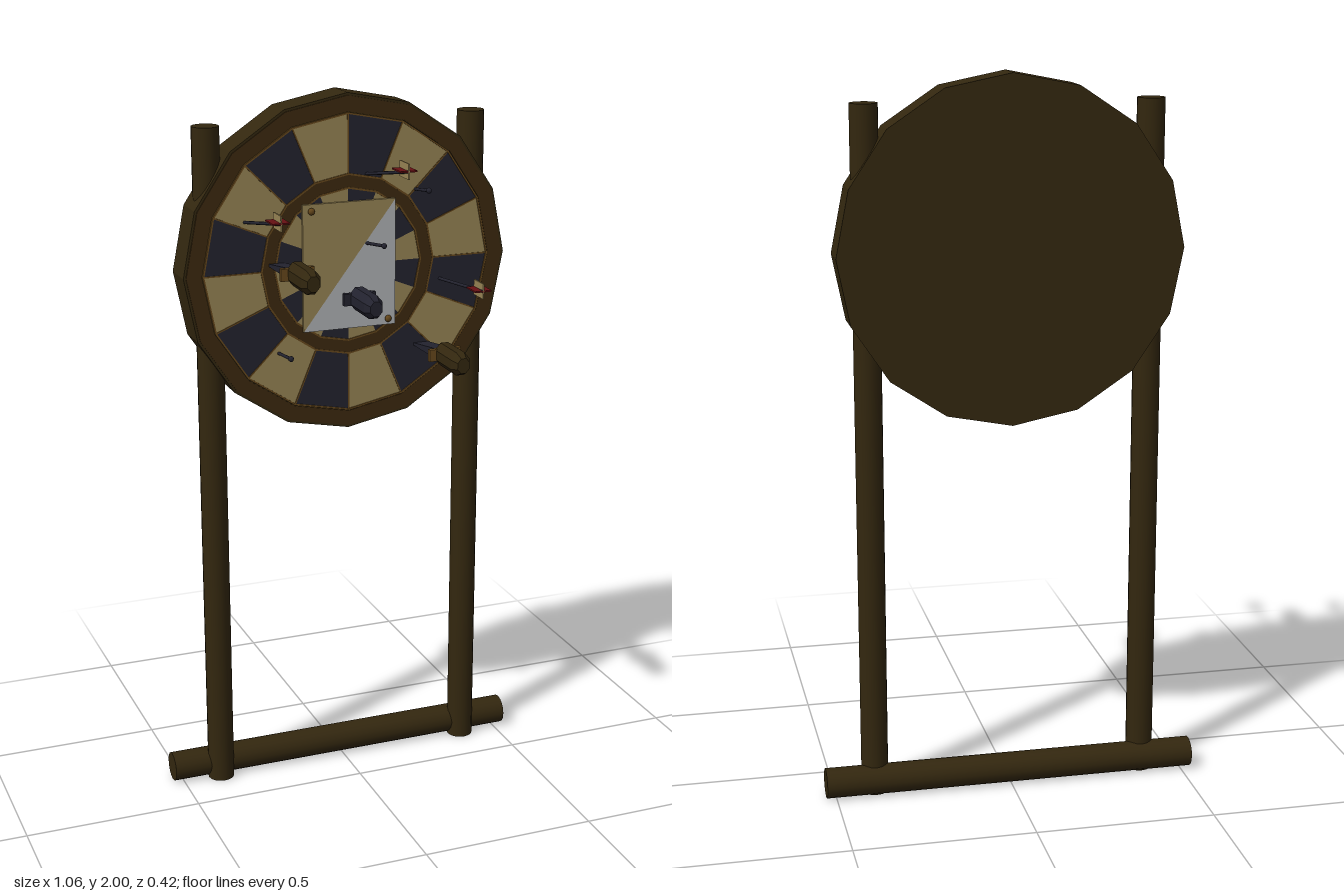
import * as THREE from 'three';

const mat = (name, color) => {
  const m = new THREE.MeshStandardMaterial({ color });
  m.name = name;
  return m;
};

export function createModel() {
  const root = new THREE.Group();
  const wood = mat('dark wood', 0x33270f);
  const ringWood = mat('ring wood', 0x3c290f);
  const tan = mat('tan', 0x978454);
  const navy = mat('navy', 0x23232f);
  const paper = mat('pale paper', 0xb0b2b5);
  const red = mat('red', 0x661013);
  const brass = mat('brass', 0x66481c);

  const add = (parent, name, geo, material, x = 0, y = 0, z = 0) => {
    const mesh = new THREE.Mesh(geo, material);
    mesh.name = name;
    mesh.position.set(x, y, z);
    parent.add(mesh);
    return mesh;
  };
  const flat = (geo) => {
    const g = geo.index ? geo.toNonIndexed() : geo;
    g.computeVertexNormals();
    return g;
  };
  const plate = (points, depth) => new THREE.ExtrudeGeometry(
    new THREE.Shape(points.map(([x, y]) => new THREE.Vector2(x, y))),
    { depth, bevelEnabled: false });
  const group = (name, x, y, z) => {
    const g = new THREE.Group();
    g.name = name;
    g.position.set(x, y, z);
    root.add(g);
    return g;
  };

  // Frame: two round posts and a ground beam behind them
  for (const s of [-1, 1]) {
    add(root, s > 0 ? 'leftPost' : 'rightPost',
      new THREE.CylinderGeometry(0.038, 0.038, 1.925, 16), wood, s * 0.386, 0.9625, -0.143);
  }
  add(root, 'groundBeam', new THREE.CylinderGeometry(0.042, 0.042, 1.056, 16).rotateZ(Math.PI / 2),
    wood, 0, 0.043, -0.167);

  // Sixteen-sided board
  const N = 16, step = Math.PI * 2 / N;
  const board = group('board', 0, 1.527, 0);
  add(board, 'boardBody', flat(new THREE.CylinderGeometry(0.472, 0.472, 0.1, N).rotateX(Math.PI / 2)),
    wood, 0, 0, -0.143);
  const at = (r, i) => [r * Math.sin(i * step), r * Math.cos(i * step)];
  const sector = (r0, r1, i) => [at(r0, i), at(r0, i + 1), at(r1, i + 1), at(r1, i)];
  for (let i = 0; i < N; i++) {
    const colour = i % 2 ? tan : navy;
    add(board, 'outerField', plate(sector(0.255, 0.415, i), 0.003), colour, 0, 0, -0.093);
    add(board, 'innerField', plate(sector(0.02, 0.212, i), 0.003), colour, 0, 0, -0.093);
    add(board, 'rim', plate(sector(0.422, 0.465, i), 0.003), ringWood, 0, 0, -0.093);
    add(board, 'innerRing', plate(sector(0.217, 0.25, i), 0.005), ringWood, 0, 0, -0.093);
    // Thin wires around and between the fields
    for (const r of [0.212, 0.25, 0.415]) {
      add(board, 'ringWire', plate(sector(r, r + 0.005, i), 0.006), brass, 0, 0, -0.093);
    }
    const wire = add(board, 'spokeWire', new THREE.BoxGeometry(0.004, 0.16, 0.005), brass,
      0.335 * Math.sin(i * step), 0.335 * Math.cos(i * step), -0.0905);
    wire.rotation.z = -i * step;
  }

  // Pinned sheet, divided along its diagonal
  const sheet = group('sheet', 0, 1.527, -0.087);
  add(sheet, 'sheetTanHalf', plate([[-0.136, 0.178], [-0.136, -0.178], [0.136, 0.178]], 0.008), tan);
  add(sheet, 'sheetPaleHalf', plate([[0.136, 0.178], [-0.136, -0.178], [0.136, -0.178]], 0.008), paper);
  for (const s of [-1, 1]) {
    add(sheet, 'pin', new THREE.SphereGeometry(0.01, 10, 6).scale(1, 1, 0.8), brass,
      s * 0.113, -s * 0.16, 0.014);
  }

  // Knife: bevelled grip, cross guard, wedge blade running back into the board
  function knife(name, x, y, z, gripMat, guardMat, bladeLength, bladeMat) {
    const g = group(name, x, y, z);
    const profile = [[0, 0], [0.031, 0], [0.031, 0.108], [0.02, 0.132], [0, 0.132]];
    const grip = new THREE.LatheGeometry(profile.map(([r, h]) => new THREE.Vector2(r, h)), 8, Math.PI / 8)
      .rotateX(Math.PI / 2).scale(0.95, 1.12, 1);
    add(g, 'grip', flat(grip), gripMat);
    add(g, 'guard', new THREE.BoxGeometry(0.094, 0.034, 0.014), guardMat, 0, 0, 0.003);
    const blade = new THREE.BoxGeometry(0.044, 0.03, bladeLength).translate(0, 0, -bladeLength / 2);
    const p = blade.attributes.position;
    for (let i = 0; i < p.count; i++) {
      if (p.getZ(i) < -bladeLength / 2) p.setY(i, p.getY(i) * 0.2 - 0.014);
    }
    add(g, 'blade', flat(blade), bladeMat);
  }
  knife('rightKnife', -0.209, 1.558, 0.074, wood, brass, 0.175, navy);
  knife('leftKnife', 0.22, 1.293, 0.074, wood, brass, 0.175, navy);
  knife('centreKnife', 0.02, 1.437, -0.061, navy, navy, 0.035, red);

  // Round rod between two points
  function rod(parent, name, a, b, r) {
    const d = b.clone().sub(a);
    const mesh = add(parent, name, new THREE.CylinderGeometry(r, r, d.length(), 8), navy);
    mesh.position.copy(a).add(b).multiplyScalar(0.5);
    mesh.quaternion.setFromUnitVectors(new THREE.Vector3(0, 1, 0), d.normalize());
  }

  // Darts with crossed vanes: [x, y] at the board, [x, y] at the vanes
  const darts = [
    [-0.298, 1.667, -0.283, 1.715],
    [0.054, 1.774, 0.07, 1.826],
    [0.275, 1.463, 0.291, 1.485],
  ];
  for (const [x0, y0, x1, y1] of darts) {
    const g = group('dart', 0, 0, 0);
    rod(g, 'dartShaft', new THREE.Vector3(x0, y0, -0.1), new THREE.Vector3(x1, y1, 0.17), 0.0045);
    add(g, 'flatVane', new THREE.BoxGeometry(0.048, 0.004, 0.06), red, x1, y1, 0.141);
    add(g, 'uprightVane', new THREE.BoxGeometry(0.004, 0.042, 0.06), tan, x1, y1, 0.141);
  }

  // Short spikes with a small knob
  const spikes = [[0.2, 1.722, 0.188, 1.742], [0.05, 1.583, 0.058, 1.6], [-0.205, 1.293, -0.212, 1.311]];
  for (const [x0, y0, x1, y1] of spikes) {
    const g = group('spike', 0, 0, 0);
    rod(g, 'spikeShaft', new THREE.Vector3(x0, y0, -0.1), new THREE.Vector3(x1, y1, 0.03), 0.0045);
    add(g, 'spikeKnob', new THREE.SphereGeometry(0.008, 8, 6), navy, x1, y1, 0.03);
  }

  return root;
}
